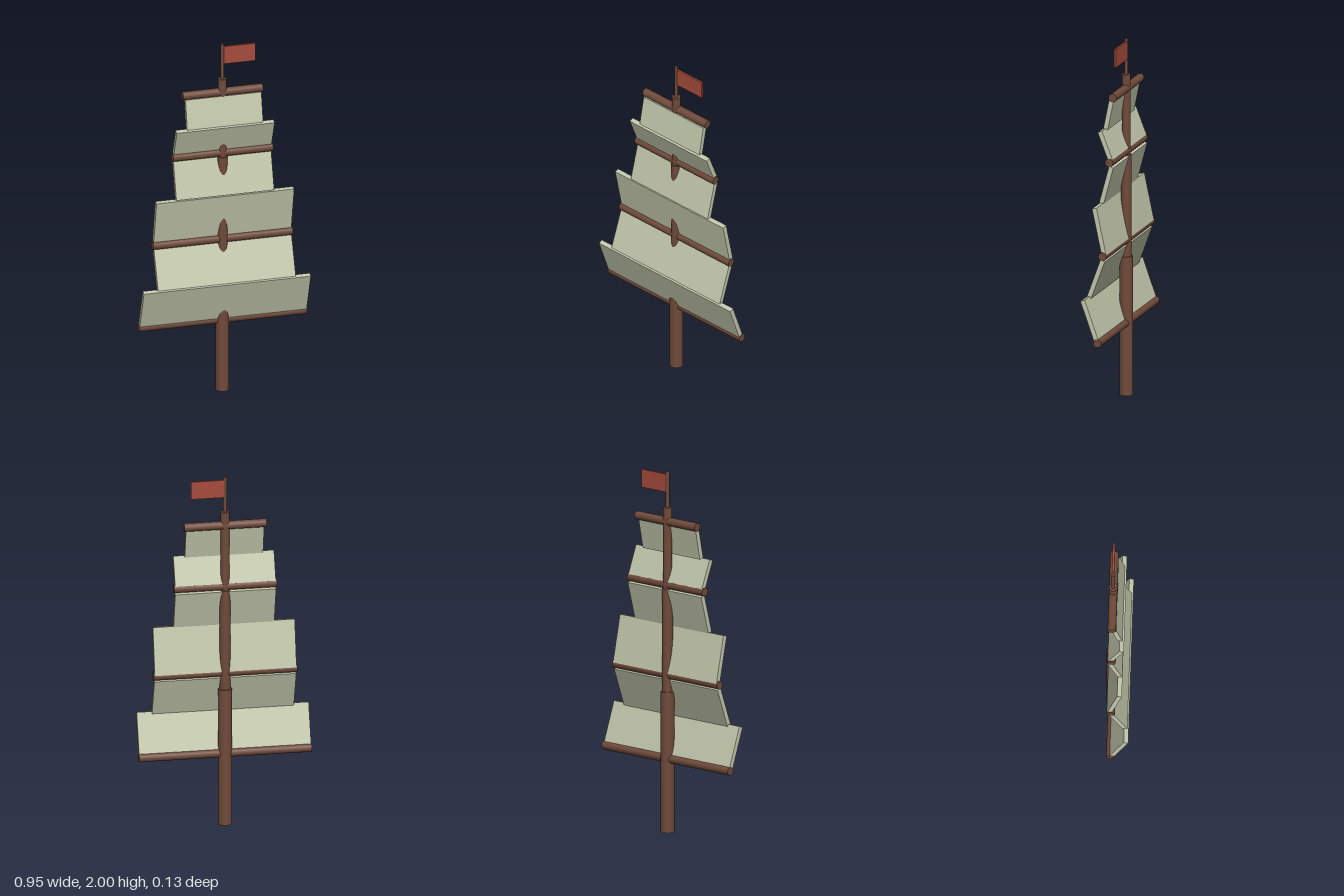
import * as THREE from 'three';

const wood = new THREE.MeshStandardMaterial({ color: 0x6f4a3a });
wood.name = 'brownWood';
const canvas = new THREE.MeshStandardMaterial({ color: 0xc3c8ac });
canvas.name = 'paleCanvas';
const red = new THREE.MeshStandardMaterial({ color: 0xa64b3c });
red.name = 'redCloth';

const AXIS_Z = -0.03; // depth of the mast and yards

export function createModel() {
  const model = new THREE.Group();
  model.name = 'mast';

  const add = (name, geometry, material, x, y, z) => {
    const mesh = new THREE.Mesh(geometry, material);
    mesh.name = name;
    mesh.position.set(x, y, z);
    model.add(mesh);
    return mesh;
  };

  // Stepped mast: name, bottom, top, radius
  for (const [name, y0, y1, r] of [
    ['lowerMast', 0, 0.78, 0.037],
    ['middleMast', 0.78, 1.35, 0.029],
    ['upperMast', 1.35, 1.8, 0.024],
    ['flagPole', 1.8, 2, 0.01],
  ]) {
    add(name, new THREE.CylinderGeometry(r, r, y1 - y0, 24), wood, 0, (y0 + y1) / 2, AXIS_Z);
  }

  // Yards: height, half length
  for (const [y, half] of [[0.408, 0.475], [0.874, 0.395], [1.372, 0.283], [1.722, 0.226]]) {
    const yard = add('yard', new THREE.CylinderGeometry(0.023, 0.023, half * 2, 20), wood, 0, y, AXIS_Z - 0.001);
    yard.rotation.z = Math.PI / 2;
  }

  // Sail panels, tilted between yards: half width, bottom y and z, top y and z
  for (const [half, y0, z0, y1, z1] of [
    [0.473, 0.415, -0.026, 0.641, 0.054],
    [0.39, 0.638, 0.046, 0.85, -0.031],
    [0.39, 0.872, -0.041, 1.14, 0.016],
    [0.277, 1.14, 0.015, 1.348, -0.041],
    [0.277, 1.385, -0.037, 1.541, 0.024],
    [0.215, 1.54, 0.013, 1.703, -0.02],
  ]) {
    const length = Math.hypot(y1 - y0, z1 - z0);
    const panel = add('sailPanel', new THREE.BoxGeometry(half * 2, length, 0.026), canvas,
      0, (y0 + y1) / 2, (z0 + z1) / 2);
    panel.rotation.x = Math.atan2(z1 - z0, y1 - y0);
  }

  // Flag flying to one side of the pole
  add('flag', new THREE.BoxGeometry(0.185, 0.1, 0.012), red, 0.0945, 1.934, AXIS_Z - 0.002);

  return model;
}
